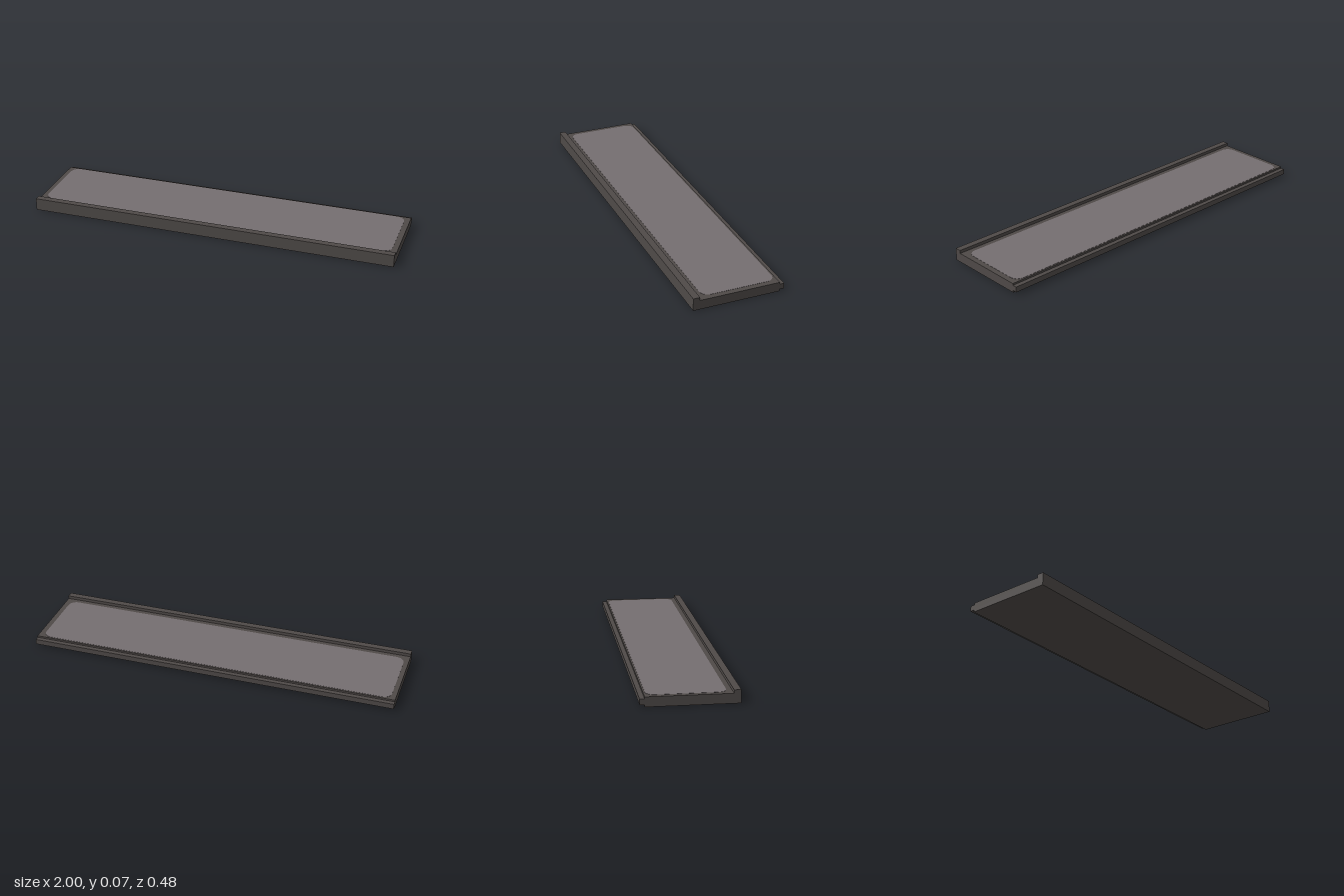
import * as THREE from 'three';

const LENGTH = 2;
const TOP = 0.05;

// Closed shape from a list of [x, y] corners
function polygon(points) {
  return new THREE.Shape(points.map(([x, y]) => new THREE.Vector2(x, y)));
}

// Rectangle with rounded corners, centred on the origin
function roundedRect(w, h, r) {
  const s = new THREE.Shape();
  const x = w / 2 - r, y = h / 2 - r;
  s.absarc(x, y, r, 0, Math.PI / 2);
  s.absarc(-x, y, r, Math.PI / 2, Math.PI);
  s.absarc(-x, -y, r, Math.PI, Math.PI * 1.5);
  s.absarc(x, -y, r, Math.PI * 1.5, Math.PI * 2);
  s.closePath();
  return s;
}

export function createModel() {
  const group = new THREE.Group();
  group.name = 'plank';

  const frameMaterial = new THREE.MeshStandardMaterial({ color: 0x4f4a48 });
  frameMaterial.name = 'dark frame';
  const panelMaterial = new THREE.MeshStandardMaterial({ color: 0x756e70 });
  panelMaterial.name = 'grey panel';

  // Frame: side profile (z, y) with raised front lip and rear tongue, run along x
  const profile = polygon([
    [0.242, 0], [0.242, 0.067], [0.207, 0.067], [0.207, TOP],
    [-0.218, TOP], [-0.218, 0.04], [-0.242, 0.04], [-0.242, 0.011],
    [-0.218, 0.011], [-0.218, 0],
  ]);
  const frameGeometry = new THREE.ExtrudeGeometry(profile, { depth: LENGTH, bevelEnabled: false });
  frameGeometry.translate(0, 0, -LENGTH / 2);
  frameGeometry.rotateY(-Math.PI / 2); // profile x becomes z, depth becomes -x
  const frame = new THREE.Mesh(frameGeometry, frameMaterial);
  frame.name = 'frame';
  group.add(frame);

  // Inset walking surface: thin rounded plate on the top face
  const panelGeometry = new THREE.ExtrudeGeometry(roundedRect(1.945, 0.39, 0.045), {
    depth: 0.003, bevelEnabled: false, curveSegments: 6,
  });
  panelGeometry.rotateX(-Math.PI / 2);
  const panel = new THREE.Mesh(panelGeometry, panelMaterial);
  panel.name = 'topPanel';
  panel.position.set(-0.002, TOP - 0.002, -0.014);
  group.add(panel);

  return group;
}
